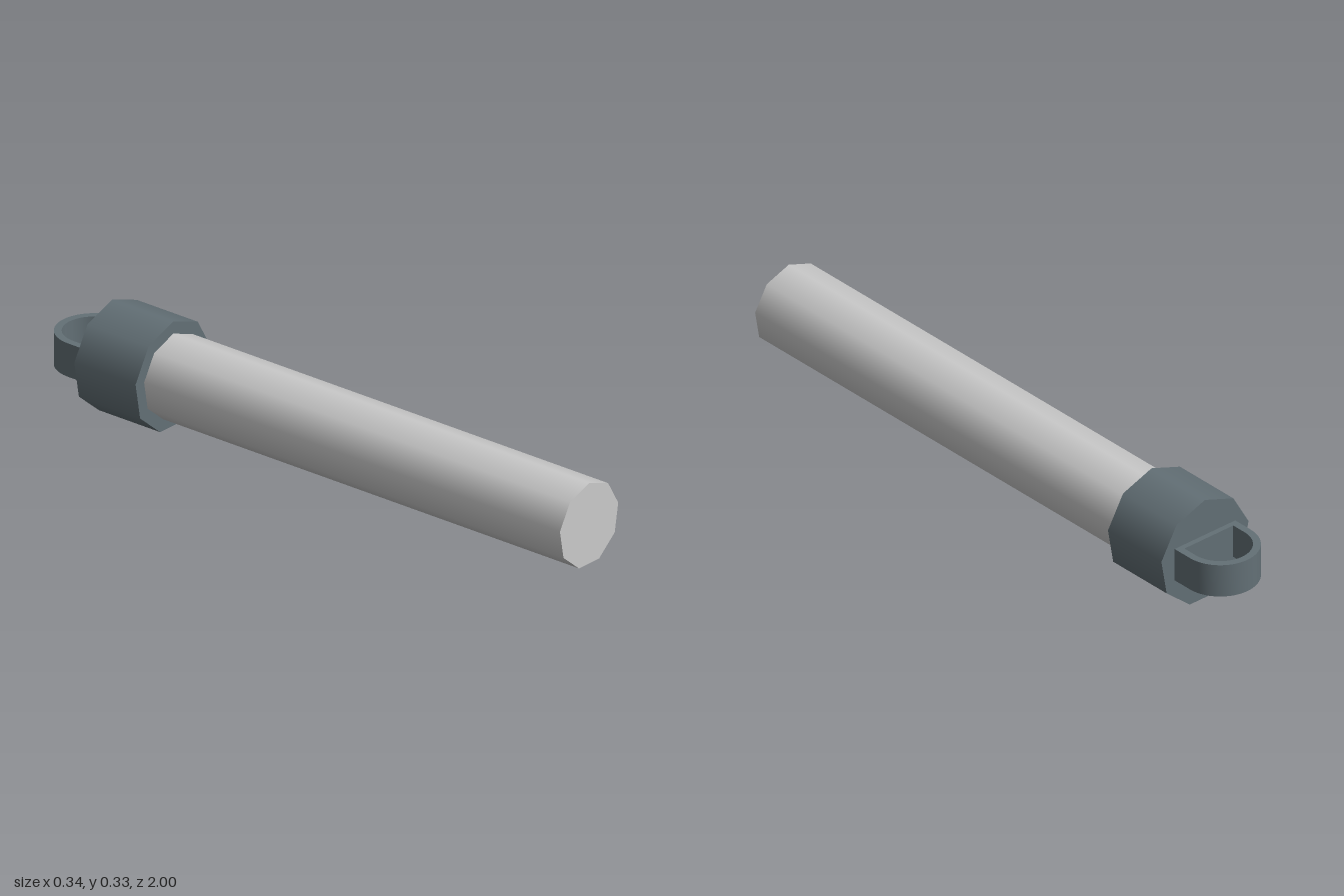
import * as THREE from 'three';
import { toCreasedNormals } from 'three/addons/utils/BufferGeometryUtils.js';

const AXIS_Y = 0.161;

// Nine-sided rod along z with a corner at the top
function rod(name, radius, zBack, zFront, material) {
  const geometry = new THREE.CylinderGeometry(radius, radius, zFront - zBack, 9);
  geometry.rotateX(-Math.PI / 2);
  const mesh = new THREE.Mesh(geometry, material);
  mesh.name = name;
  mesh.position.set(0, AXIS_Y, (zBack + zFront) / 2);
  return mesh;
}

// Arch outline: straight sides closed by a semicircle
function arch(path, halfWidth, base, springLine) {
  path.moveTo(-halfWidth, base);
  path.lineTo(halfWidth, base);
  path.lineTo(halfWidth, springLine);
  path.absarc(0, springLine, halfWidth, 0, Math.PI, false);
  path.lineTo(-halfWidth, base);
  return path;
}

export function createModel() {
  const group = new THREE.Group();
  group.name = 'rodWithLoop';

  const lightGrey = new THREE.MeshStandardMaterial({ color: 0xcacaca });
  lightGrey.name = 'lightGrey';
  const slateGrey = new THREE.MeshStandardMaterial({ color: 0x637076 });
  slateGrey.name = 'slateGrey';

  // Long tube and the collar at its back end
  group.add(rod('tube', 0.133, -0.6, 1, lightGrey));
  group.add(rod('collar', 0.172, -0.815, -0.582, slateGrey));

  // D-shaped hanging loop behind the collar
  const outline = arch(new THREE.Shape(), 0.118, 0.81, 0.882);
  outline.holes.push(arch(new THREE.Path(), 0.095, 0.832, 0.882));
  const loopGeometry = new THREE.ExtrudeGeometry(outline, {
    depth: 0.107, bevelEnabled: false, curveSegments: 16,
  });
  loopGeometry.rotateX(-Math.PI / 2);
  const loop = new THREE.Mesh(toCreasedNormals(loopGeometry, 0.6), slateGrey);
  loop.name = 'hangingLoop';
  loop.position.y = 0.107;
  group.add(loop);

  return group;
}
